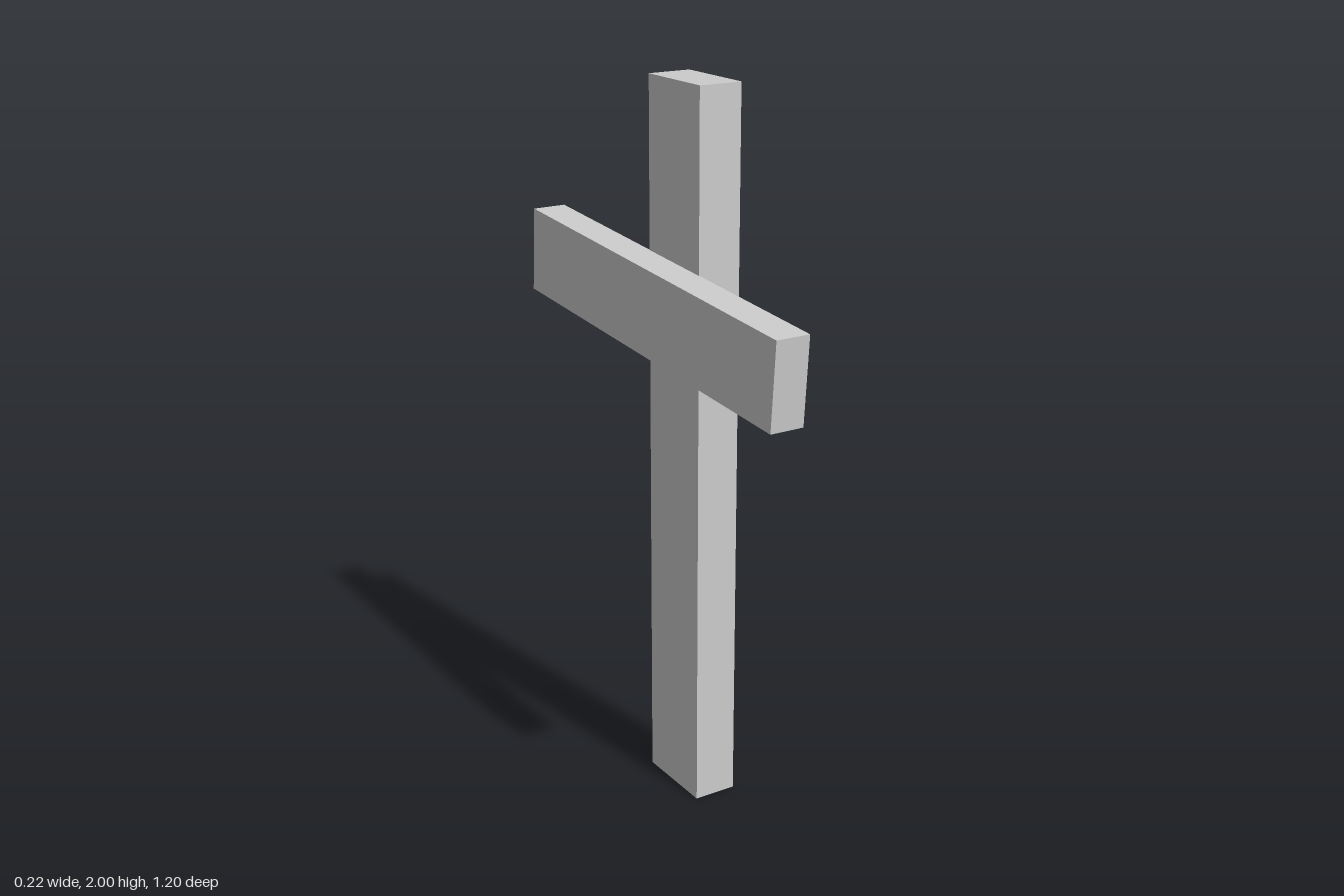
import * as THREE from 'three';

export function createModel() {
  const group = new THREE.Group();
  const material = new THREE.MeshStandardMaterial({ color: 0xcccccc, flatShading: true });

  const addBeam = (name, size, position) => {
    const beam = new THREE.Mesh(new THREE.BoxGeometry(...size), material);
    beam.name = name;
    beam.position.set(...position);
    group.add(beam);
    return beam;
  };

  // Upright post
  addBeam('post', [0.123, 2, 0.24], [0.047, 1, 0.005]);

  // Crossbar fixed to the post's side, tilted up towards the back
  const crossbar = addBeam('crossbar', [0.096, 0.236, 1.187], [-0.061, 1.4125, 0]);
  crossbar.rotation.x = 0.0725;

  return group;
}
